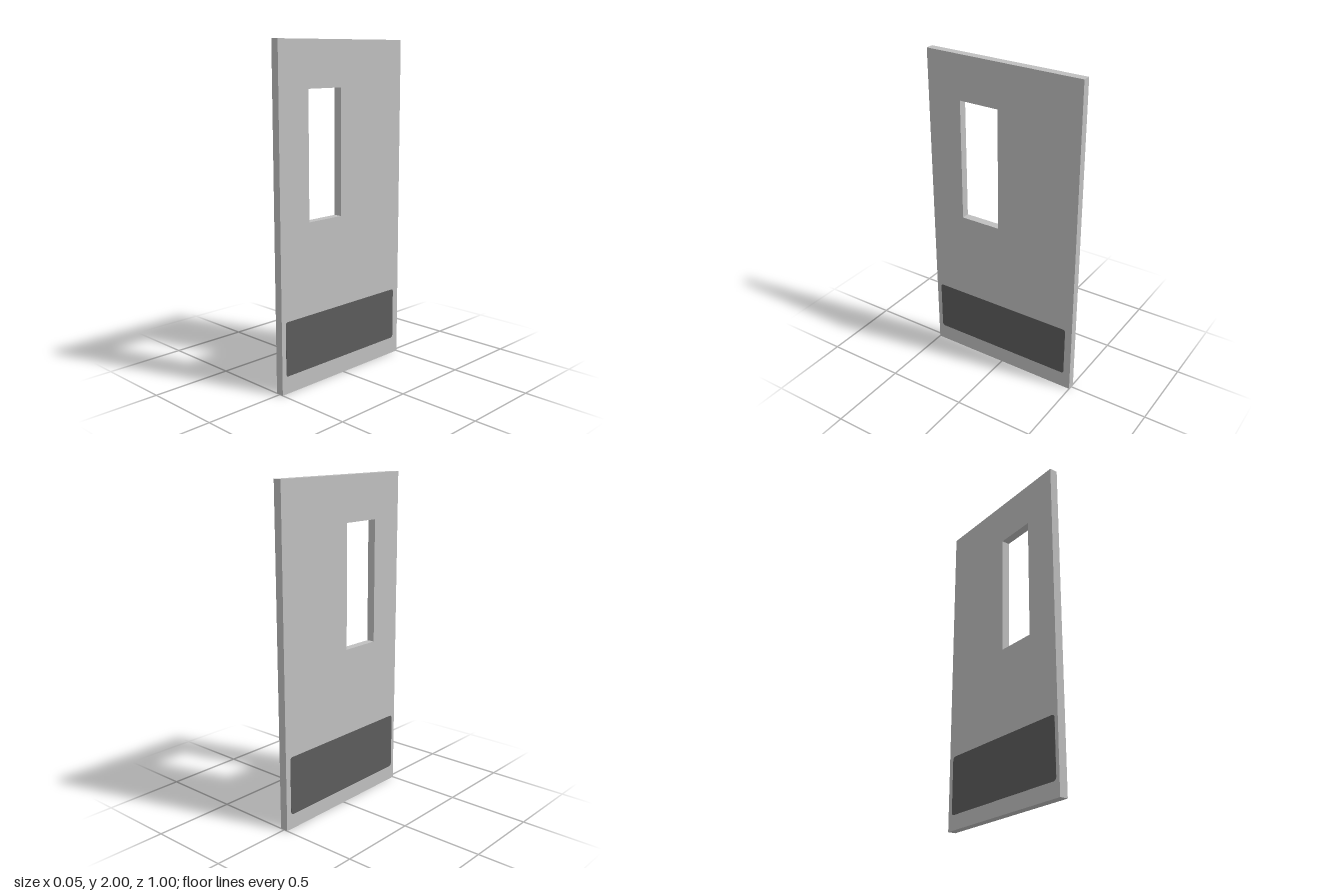
import * as THREE from 'three';

const doorGrey = new THREE.MeshStandardMaterial({ color: 0xc0c0c0 });
doorGrey.name = 'door grey';
const plateGrey = new THREE.MeshStandardMaterial({ color: 0x5c5c5c });
plateGrey.name = 'plate dark grey';

const THICKNESS = 0.05;

// Closed outline in the (z, y) plane with optional rounded corners
function outline(Type, z0, z1, y0, y1, r = 0) {
  const s = new Type();
  if (r === 0) {
    s.moveTo(z0, y0).lineTo(z1, y0).lineTo(z1, y1).lineTo(z0, y1).closePath();
    return s;
  }
  s.moveTo(z0 + r, y0);
  s.absarc(z1 - r, y0 + r, r, -Math.PI / 2, 0);
  s.absarc(z1 - r, y1 - r, r, 0, Math.PI / 2);
  s.absarc(z0 + r, y1 - r, r, Math.PI / 2, Math.PI);
  s.absarc(z0 + r, y0 + r, r, Math.PI, Math.PI * 1.5);
  return s;
}

// Extrudes a (z, y) outline along x, centred on the given x
function slab(name, shape, thickness, x, material) {
  const geo = new THREE.ExtrudeGeometry(shape, { depth: thickness, bevelEnabled: false, curveSegments: 5 });
  geo.translate(0, 0, -thickness / 2).rotateY(-Math.PI / 2).translate(x, 0, 0);
  const mesh = new THREE.Mesh(geo, material);
  mesh.name = name;
  return mesh;
}

export function createModel() {
  const group = new THREE.Group();
  group.name = 'door';

  // Door leaf with an open window
  const leaf = outline(THREE.Shape, -0.5, 0.5, 0, 2);
  leaf.holes.push(outline(THREE.Path, 0.025, 0.28, 0.98, 1.73));
  group.add(slab('doorLeaf', leaf, THICKNESS, 0, doorGrey));

  // Kick plates, one on each face; the one on -x is slightly larger
  const left = outline(THREE.Shape, -0.455, 0.47, 0.105, 0.43, 0.015);
  const right = outline(THREE.Shape, -0.465, 0.475, 0.09, 0.445, 0.02);
  group.add(slab('kickPlateLeft', left, 0.002, THICKNESS / 2, plateGrey));
  group.add(slab('kickPlateRight', right, 0.002, -THICKNESS / 2, plateGrey));

  return group;
}
